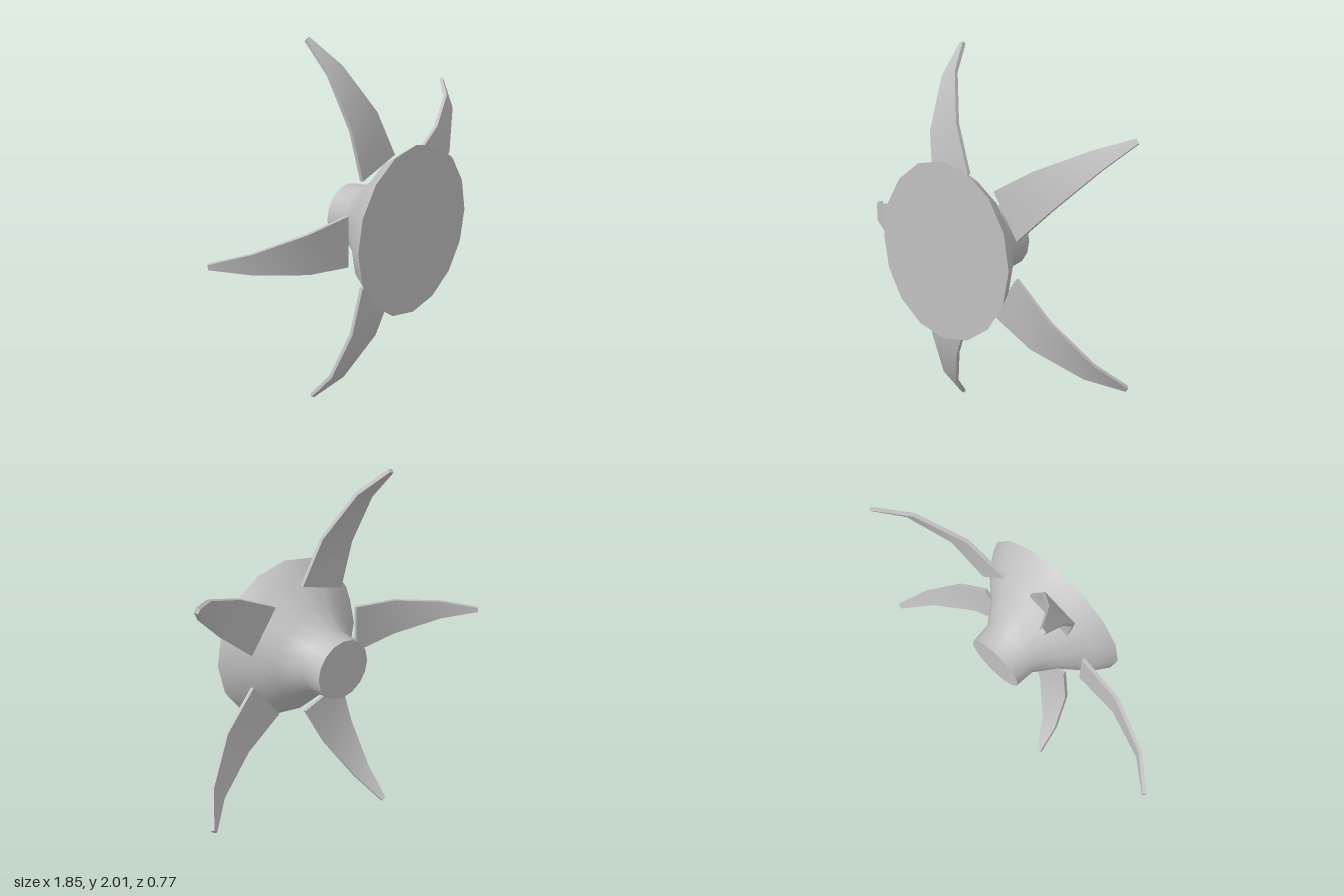
import * as THREE from 'three';

const grey = new THREE.MeshStandardMaterial({ color: 0xc0c0c0 });
grey.name = 'light grey';

const SIDES = 16;
const HALF_THICK = 0.01;

// Bell outline: [radius, position along the axis]
const BELL = [[0.166, -0.462], [0.176, -0.344], [0.26, -0.226], [0.4, -0.097], [0.463, 0]];

// Petal stations: [distance from axis, position along the axis, half width]
const PETAL = [[0.353, -0.163, 0.138], [0.619, -0.192, 0.105], [0.888, -0.308, 0.053], [1.045, -0.448, 0.013]];

function addMesh(parent, geometry, name) {
  const mesh = new THREE.Mesh(geometry, grey);
  mesh.name = name;
  parent.add(mesh);
  return mesh;
}

// Thin tapering blade that bends backwards, with crisp long edges
function petalGeometry() {
  const rings = PETAL.map(([r, t, w], i) => {
    const a = PETAL[Math.max(i - 1, 0)];
    const b = PETAL[Math.min(i + 1, PETAL.length - 1)];
    const n = new THREE.Vector2(a[1] - b[1], b[0] - a[0]).normalize().multiplyScalar(HALF_THICK);
    return [[1, 1], [-1, 1], [-1, -1], [1, -1]].map(([sy, sz]) => [r + sz * n.x, sy * w, t + sz * n.y]);
  });
  const positions = [];
  const indices = [];
  const last = rings.length - 1;
  // four long strips, each with its own vertices
  for (let k = 0; k < 4; k++) {
    const start = positions.length / 3;
    rings.forEach((ring) => positions.push(...ring[k], ...ring[(k + 1) % 4]));
    for (let i = 0; i < last; i++) {
      const a = start + i * 2;
      indices.push(a, a + 1, a + 3, a, a + 3, a + 2);
    }
  }
  // root and tip ends
  for (const ring of [[...rings[0]].reverse(), rings[last]]) {
    const a = positions.length / 3;
    positions.push(...ring.flat());
    indices.push(a, a + 1, a + 2, a, a + 2, a + 3);
  }
  const geometry = new THREE.BufferGeometry();
  geometry.setAttribute('position', new THREE.Float32BufferAttribute(positions, 3));
  geometry.setIndex(indices);
  geometry.computeVertexNormals();
  return geometry;
}

export function createModel() {
  const model = new THREE.Group();
  model.name = 'flower';

  // Everything shares one axis, turned slightly sideways
  const head = new THREE.Group();
  head.name = 'flowerHead';
  head.position.set(0.207, 1, 0.268);
  head.rotation.y = 0.257;
  model.add(head);

  // Flared bell with flat front and back
  const outline = BELL.map(([r, t]) => new THREE.Vector2(r, t));
  addMesh(head, new THREE.LatheGeometry(outline, SIDES).rotateX(Math.PI / 2), 'bell');
  addMesh(head, new THREE.CircleGeometry(BELL[4][0], SIDES), 'frontDisc');
  const back = addMesh(head, new THREE.CircleGeometry(BELL[0][0], SIDES), 'backDisc');
  back.rotation.y = Math.PI;
  back.position.z = BELL[0][1];

  // Five petals spread evenly around the bell
  const blade = petalGeometry();
  for (let i = 0; i < 5; i++) {
    addMesh(head, blade, 'petal' + (i + 1)).rotation.z = Math.PI + (i * 2 * Math.PI) / 5;
  }
  return model;
}
